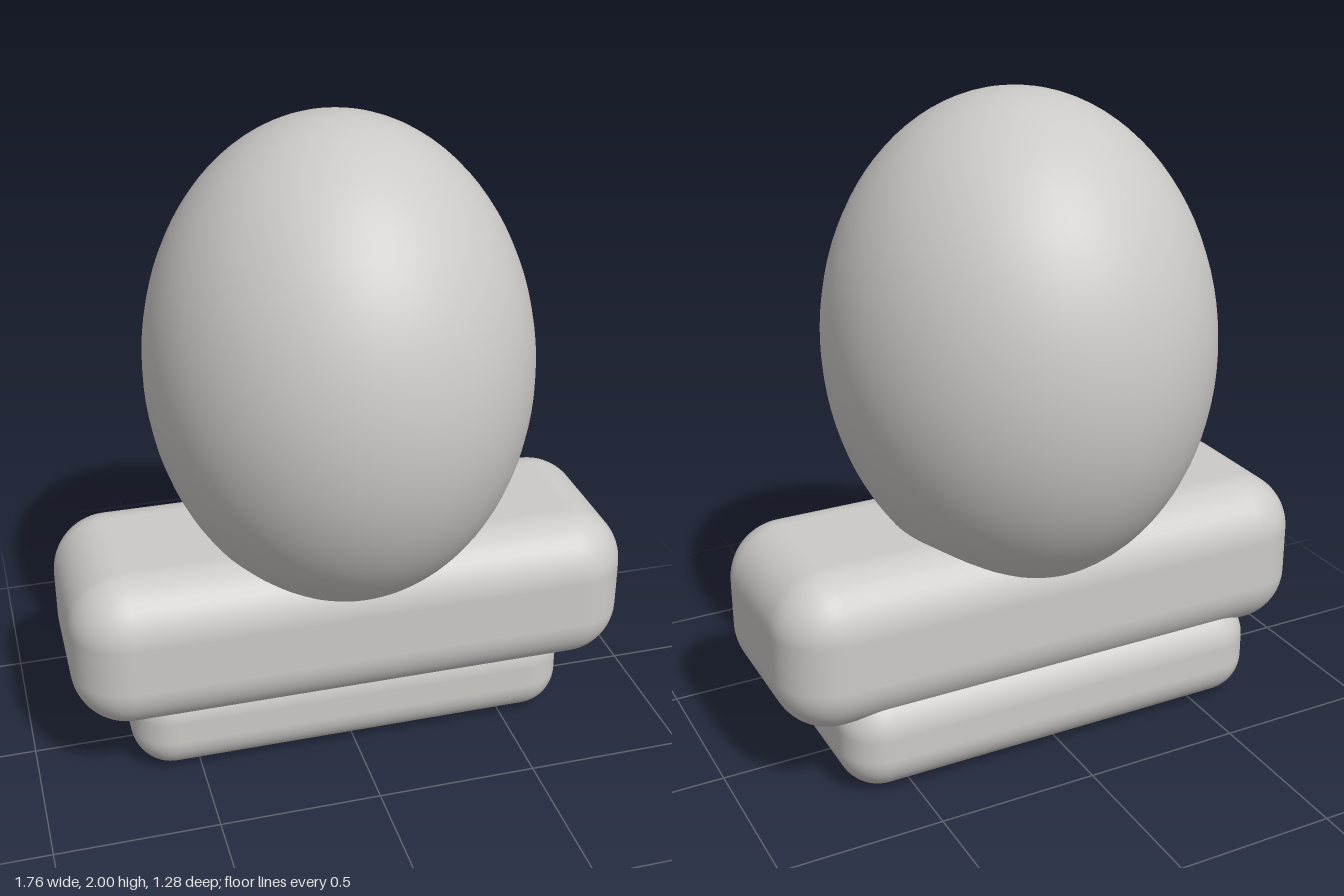
import * as THREE from 'three';
import { RoundedBoxGeometry } from 'three/addons/geometries/RoundedBoxGeometry.js';

export function createModel() {
  const model = new THREE.Group();
  const grey = new THREE.MeshStandardMaterial({ color: 0xcccac7 });
  grey.name = 'warm grey';

  const add = (name, geometry, y, z = 0) => {
    const mesh = new THREE.Mesh(geometry, grey);
    mesh.name = name;
    mesh.position.set(0, y, z);
    model.add(mesh);
  };

  // Egg-shaped head, slightly deeper than wide
  add('head', new THREE.SphereGeometry(1, 64, 48).scale(0.58, 0.75, 0.64), 1.25);

  // Wide soft block carrying the head
  add('upperBlock', new RoundedBoxGeometry(1.76, 0.5, 0.67, 8, 0.175), 0.47);

  // Narrower foot, set slightly back
  add('lowerBlock', new RoundedBoxGeometry(1.41, 0.33, 0.585, 8, 0.13), 0.165, -0.0425);

  return model;
}
